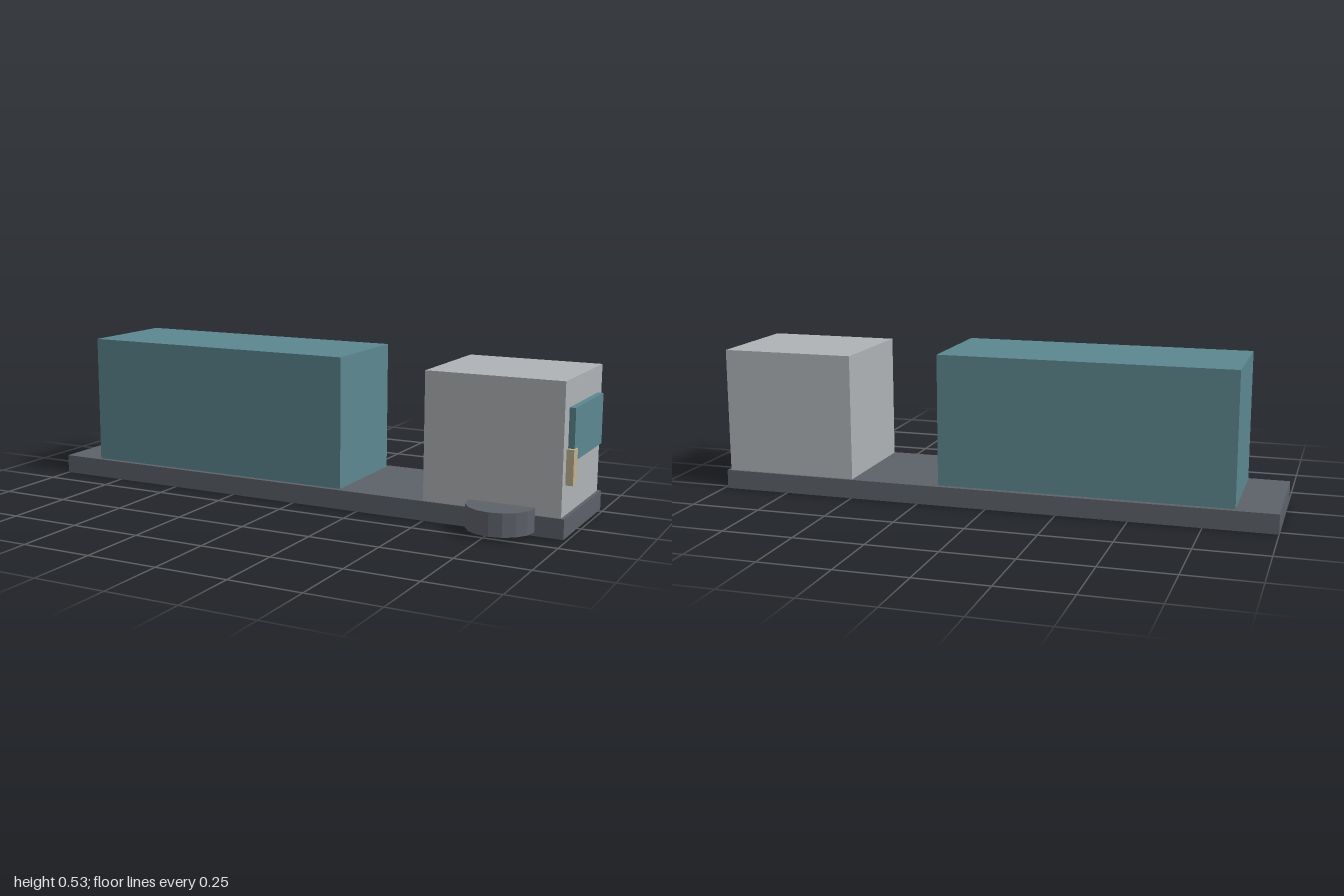
import * as THREE from 'three';

const material = (name, color) => {
  const m = new THREE.MeshStandardMaterial({ color });
  m.name = name;
  return m;
};

export function createModel() {
  const model = new THREE.Group();
  model.name = 'flatbedTruck';

  const charcoal = material('charcoal', 0x5d6169);
  const paleGrey = material('paleGrey', 0xafb3b6);
  const teal = material('teal', 0x5c878f);
  const sand = material('sand', 0xbeb290);

  // Box given by its [min, max] extent on each axis
  const block = (name, mat, [x0, x1], [y0, y1], [z0, z1]) => {
    const mesh = new THREE.Mesh(new THREE.BoxGeometry(x1 - x0, y1 - y0, z1 - z0), mat);
    mesh.name = name;
    mesh.position.set((x0 + x1) / 2, (y0 + y1) / 2, (z0 + z1) / 2);
    model.add(mesh);
  };

  // Chassis slab, with the load and the cab standing on it
  block('chassis', charcoal, [-1, 0.987], [0, 0.068], [-0.273, 0.153]);
  block('cargoBox', teal, [-0.855, 0.178], [0.068, 0.531], [-0.252, 0.134]);
  block('cab', paleGrey, [0.497, 0.975], [0.068, 0.512], [-0.265, 0.147]);

  // Windscreen and headlamp on the cab's end face
  block('windscreen', teal, [0.973, 0.996], [0.247, 0.421], [-0.217, 0.099]);
  block('headlamp', sand, [0.973, 1], [0.17, 0.288], [0.075, 0.115]);

  // Wheel lying flat, half sunk into the chassis side
  const wheelGeometry = new THREE.CylinderGeometry(0.115, 0.115, 0.08, 16).toNonIndexed();
  wheelGeometry.computeVertexNormals();
  const wheel = new THREE.Mesh(wheelGeometry, charcoal);
  wheel.name = 'wheel';
  wheel.position.set(0.776, 0.053, 0.158);
  model.add(wheel);

  return model;
}
